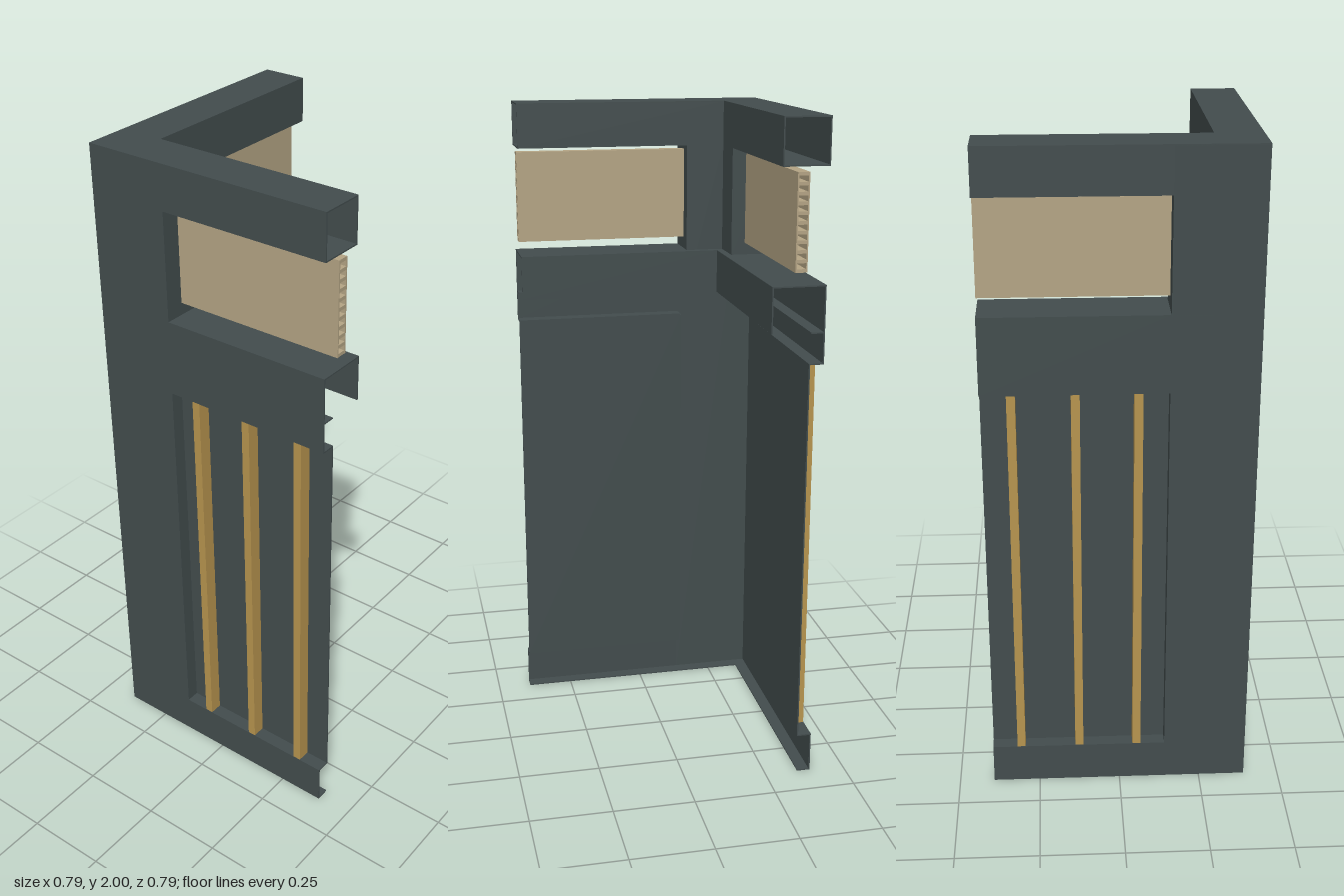
import * as THREE from 'three';

const T = 0.004; // sheet thickness
const OUT = 0.393, IN = 0.257, LEDGE = 0.235, PANEL = 0.352, JAMB = -0.14;

export function createModel() {
  const root = new THREE.Group();
  root.name = 'cornerFacade';
  const mat = (name, color) => new THREE.MeshStandardMaterial({ name, color });
  const stone = mat('darkSlate', 0x434d4e);
  const tan = mat('tanScreen', 0xb5a585);
  const gold = mat('ochreSlat', 0xb8954f);

  // Each wing is described as the front one; the left one swaps x with -z.
  for (const left of [false, true]) {
    const wing = new THREE.Group();
    wing.name = left ? 'rightWing' : 'frontWing';
    root.add(wing);
    const box = (name, material, x0, x1, y0, y1, z0, z1) => {
      const [a0, a1, c0, c1] = left ? [-z1, -z0, -x1, -x0] : [x0, x1, z0, z1];
      const mesh = new THREE.Mesh(new THREE.BoxGeometry(a1 - a0, y1 - y0, c1 - c0), material);
      mesh.position.set((a0 + a1) / 2, (y0 + y1) / 2, (c0 + c1) / 2);
      mesh.name = name;
      wing.add(mesh);
    };
    const sheet = (name, ...b) => box(name, stone, ...b);

    // Corner pillar: outer face, window jamb and inner face
    sheet('pillarFace', -OUT, JAMB, 0, 2, OUT - T, OUT);
    sheet('windowJamb', JAMB - T, JAMB, 1.53, 1.865, IN, OUT);
    sheet('pillarInnerFace', -IN, JAMB, 1.4, 1.865, IN, IN + T);

    // Hollow lintel with an open end
    sheet('lintelFace', JAMB, OUT, 1.865, 2, OUT - T, OUT);
    sheet('lintelBack', -IN - T, OUT, 1.865, 2, IN, IN + T);
    sheet('lintelTop', -OUT, OUT, 2 - T, 2, IN, OUT);
    sheet('lintelUnderside', JAMB - T, OUT, 1.865, 1.865 + T, IN, OUT);

    // Sill, open underneath
    sheet('sillFace', JAMB, OUT, 1.305, 1.535, OUT - T, OUT);
    sheet('sillTop', -IN, OUT, 1.535 - T, 1.535, LEDGE, OUT);
    sheet('sillBack', -LEDGE - T, OUT, 1.4, 1.535, LEDGE, LEDGE + T);
    sheet('sillReturn', -OUT, OUT, 1.4 - T, 1.4, PANEL, OUT);

    // Recessed panel with its reveals
    sheet('recessPanel', JAMB - T, OUT, 0.125, 1.305, PANEL - T, PANEL);
    sheet('recessSide', JAMB - T, JAMB, 0.125, 1.305, PANEL, OUT);
    sheet('recessTop', JAMB, OUT, 1.305, 1.305 + T, PANEL - T, OUT);
    sheet('recessBottom', JAMB, OUT, 0.125 - T, 0.125, PANEL - T, OUT);

    // Base band
    sheet('baseFace', JAMB, OUT, 0, 0.125, OUT - T, OUT);
    sheet('baseReturn', -OUT, OUT, 0, T, PANEL, OUT);

    // Vertical slats
    for (const x of [-0.053, 0.125, 0.305])
      box('slat', gold, x - 0.0125, x + 0.0125, 0.125, 1.305, PANEL, OUT - 0.001);

    // Screen: two faces with a crate of fins between them
    const y0 = 1.572, y1 = 1.85, z0 = 0.3, z1 = 0.335;
    box('screenFront', tan, JAMB, OUT, y0, y1, z1 - T, z1);
    box('screenBack', tan, JAMB, OUT, y0, y1, z0, z0 + T);
    for (let i = 0; i <= 10; i++) {
      const y = y0 + (y1 - y0 - 0.01) * i / 10;
      box('screenRung', tan, JAMB, OUT - (i % 10 ? 0 : 0.001), y, y + 0.01, z0 + T, z1 - T);
    }
  }
  return root;
}
